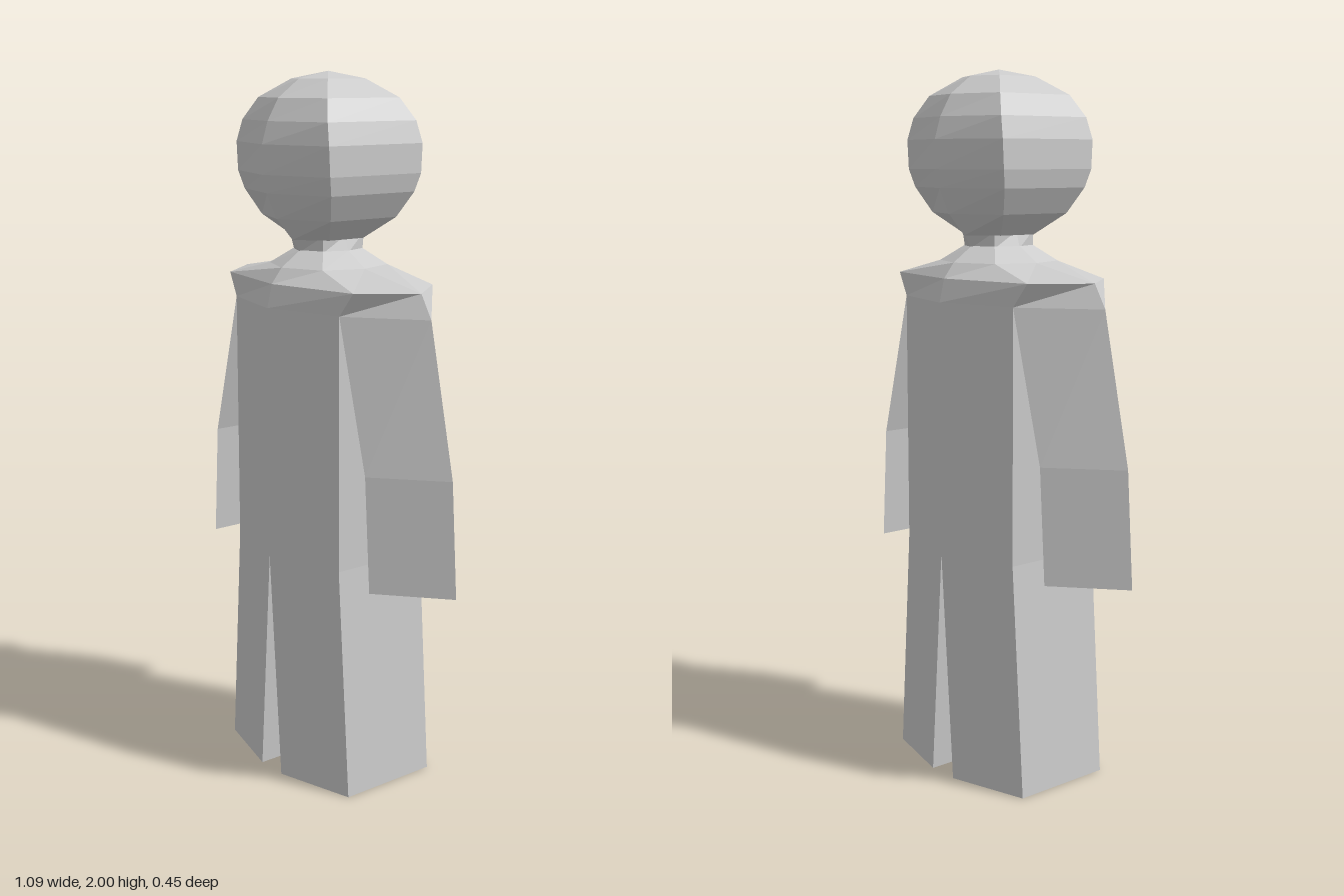
import * as THREE from 'three';

const material = new THREE.MeshStandardMaterial({
  color: 0xcccccc, flatShading: true, side: THREE.DoubleSide,
});

// Cross-sections, listed counter-clockwise as seen from above
const hex = (y, x, zSide, z) => [
  [0, y, z], [x, y, zSide], [x, y, -zSide],
  [0, y, -z], [-x, y, -zSide], [-x, y, zSide],
];
const oct = (y, xTip, x, zSide, z) => [
  [0, y, z], [x, y, zSide], [xTip, y, 0], [x, y, -zSide],
  [0, y, -z], [-x, y, -zSide], [-xTip, y, 0], [-x, y, zSide],
];
const mirror = (rings) => rings.map((r) => r.map(([x, y, z]) => [-x, y, z]).reverse());

// Flat-shaded skin over rings ordered from bottom to top
function loft(name, rings, capBottom = false, capTop = false) {
  const pos = [];
  const tri = (a, b, c) => pos.push(...a, ...b, ...c);
  for (let k = 0; k < rings.length - 1; k++) {
    const lo = rings[k], hi = rings[k + 1], n = lo.length;
    for (let i = 0; i < n; i++) {
      const j = (i + 1) % n;
      tri(lo[i], lo[j], hi[j]);
      tri(lo[i], hi[j], hi[i]);
    }
  }
  const cap = (r, up) => {
    for (let i = 1; i < r.length - 1; i++) {
      if (up) tri(r[0], r[i], r[i + 1]);
      else tri(r[0], r[i + 1], r[i]);
    }
  };
  if (capBottom) cap(rings[0], false);
  if (capTop) cap(rings[rings.length - 1], true);
  const geometry = new THREE.BufferGeometry();
  geometry.setAttribute('position', new THREE.Float32BufferAttribute(pos, 3));
  geometry.computeVertexNormals();
  const mesh = new THREE.Mesh(geometry, material);
  mesh.name = name;
  return mesh;
}

export function createModel() {
  const model = new THREE.Group();
  model.name = 'figure';

  // Head: faceted ball with a ridge front and back and flat sides
  const head = [
    [1.55, 0.08, 0.06, 0.125], [1.61, 0.155, 0.115, 0.178], [1.68, 0.195, 0.145, 0.21],
    [1.73, 0.207, 0.158, 0.225], [1.81, 0.207, 0.162, 0.225], [1.87, 0.19, 0.153, 0.206],
    [1.93, 0.153, 0.125, 0.17], [1.98, 0.08, 0.065, 0.1], [2.0, 0, 0, 0],
  ].map((r) => hex(...r));
  model.add(loft('head', head, true));

  // Neck, flaring slightly up into the head
  model.add(loft('neck', [
    oct(1.515, 0.09, 0.065, 0.07, 0.1), oct(1.56, 0.075, 0.065, 0.07, 0.13),
  ]));

  // Shoulders, sloping in from the arm tops to the neck
  model.add(loft('shoulders', [
    oct(1.435, 0.39, 0.28, 0.14, 0.197), oct(1.477, 0.16, 0.12, 0.115, 0.163),
    oct(1.52, 0.09, 0.065, 0.07, 0.1),
  ]));

  // Torso, six-sided
  model.add(loft('torso', [
    hex(0.66, 0.235, 0.15, 0.213), hex(1.37, 0.235, 0.15, 0.213), hex(1.435, 0.28, 0.14, 0.197),
  ]));

  // Legs: each takes half of the torso section
  const leg = [[0, 0.047, 0.28], [0.66, 0, 0.235]].map(([y, xIn, xOut]) => [
    [xIn, y, 0.213], [xOut, y, 0.15], [xOut, y, -0.15], [xIn, y, -0.213],
  ]);
  model.add(loft('leftLeg', leg, true), loft('rightLeg', mirror(leg), true));

  // Arms: three-sided sleeves, open at the bottom
  const arm = [
    [0.635, 0.365, 0.545, 0.15], [0.955, 0.345, 0.523, 0.15],
    [1.37, 0.235, 0.43, 0.15], [1.435, 0.28, 0.39, 0.14],
  ].map(([y, xIn, xOut, z]) => [[xIn, y, z], [xOut, y, 0], [xIn, y, -z]]);
  model.add(loft('leftArm', arm), loft('rightArm', mirror(arm)));

  return model;
}
